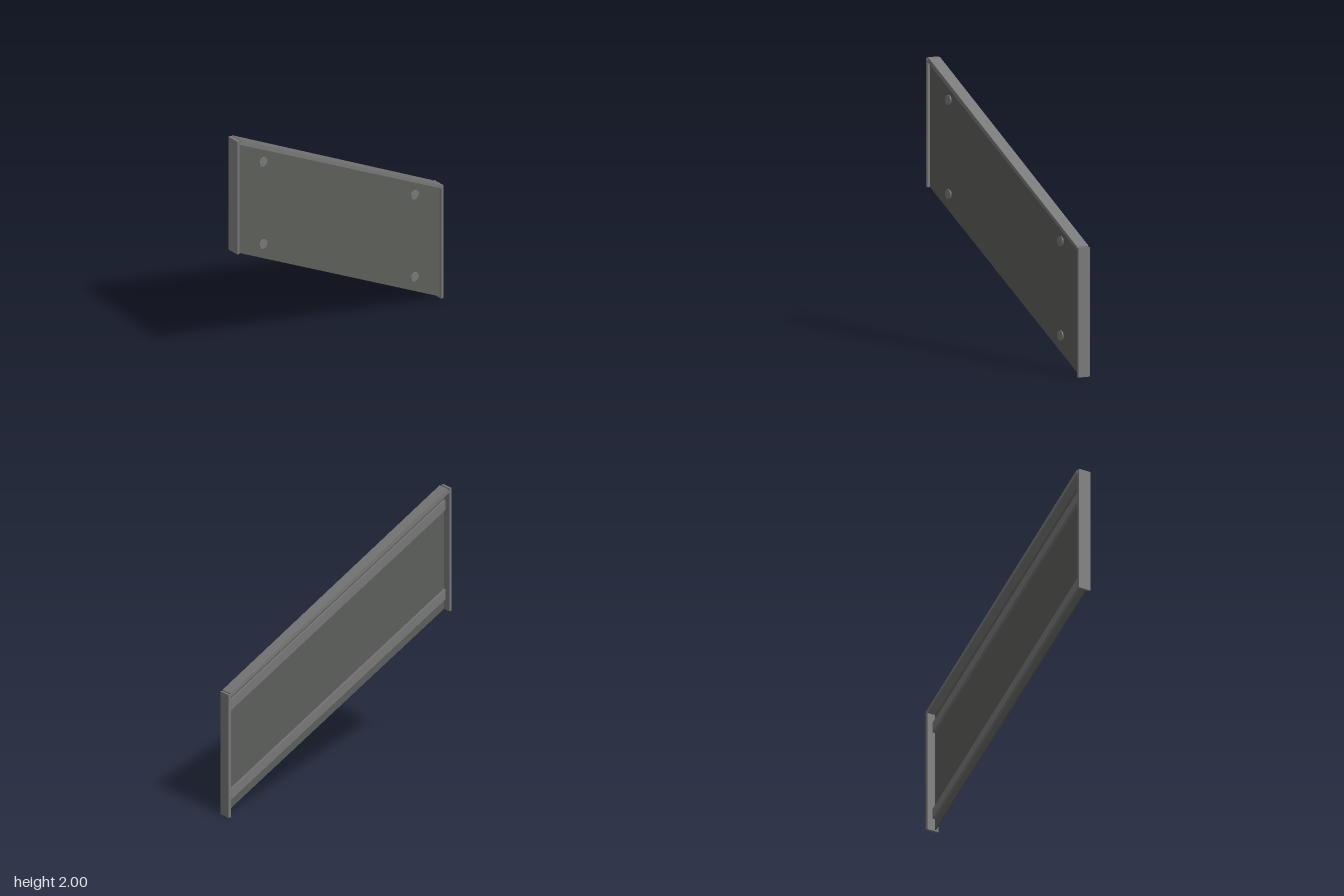
import * as THREE from 'three';

const SLOPE = -0.582;
const DEPTH = 0.094;

export function createModel() {
  const model = new THREE.Group();
  const frameMat = new THREE.MeshStandardMaterial({ color: 0x777777 });
  const sheetMat = new THREE.MeshStandardMaterial({ color: 0x5b5e59 });

  const add = (name, geometry, material, x, y, z) => {
    const mesh = new THREE.Mesh(geometry, material);
    mesh.name = name;
    mesh.position.set(x, y, z);
    model.add(mesh);
    return mesh;
  };

  // Extruded outline in the xy plane between two depths
  const slab = (name, points, back, front, material) => {
    const shape = new THREE.Shape(points.map(([x, y]) => new THREE.Vector2(x, y)));
    const geometry = new THREE.ExtrudeGeometry(shape, { depth: front - back, bevelEnabled: false });
    return add(name, geometry, material, 0, 0, back);
  };

  // Sloping band with upright ends, given by its heights at x = 0
  const band = (name, half, low, high, back, front, material) => slab(name, [
    [-half, low - SLOPE * half], [half, low + SLOPE * half],
    [half, high + SLOPE * half], [-half, high - SLOPE * half],
  ], back, front, material);

  // Upright end plates
  for (const [name, x, y] of [['rightPost', -0.945, 1.55], ['leftPost', 0.945, 0.45]]) {
    add(name, new THREE.BoxGeometry(0.02, 0.9, DEPTH), frameMat, x, y, 0);
  }

  // Thin sheet set between the posts
  band('panel', 0.936, 0.555, 1.427, 0.015, 0.026, sheetMat);

  // Full depth rail along the top, square cut at its upper end
  slab('topRail', [
    [-0.937, 1.971], [0.936, 0.881], [0.936, 0.907], [-0.922, 2.0],
  ], -DEPTH / 2, DEPTH / 2, frameMat);

  // Battens on the back, with bolt heads through to the front
  for (const [name, mid] of [['lowerBatten', 0.669], ['upperBatten', 1.324]]) {
    band(name, 0.934, mid - 0.036, mid + 0.036, -0.005, 0.015, frameMat);
    for (const x of [-0.702, 0.702]) {
      const bolt = new THREE.CylinderGeometry(0.035, 0.035, 0.014, 32);
      bolt.rotateX(Math.PI / 2);
      add('boltHead', bolt, frameMat, x, mid + SLOPE * x, 0.028);
    }
  }

  return model;
}
